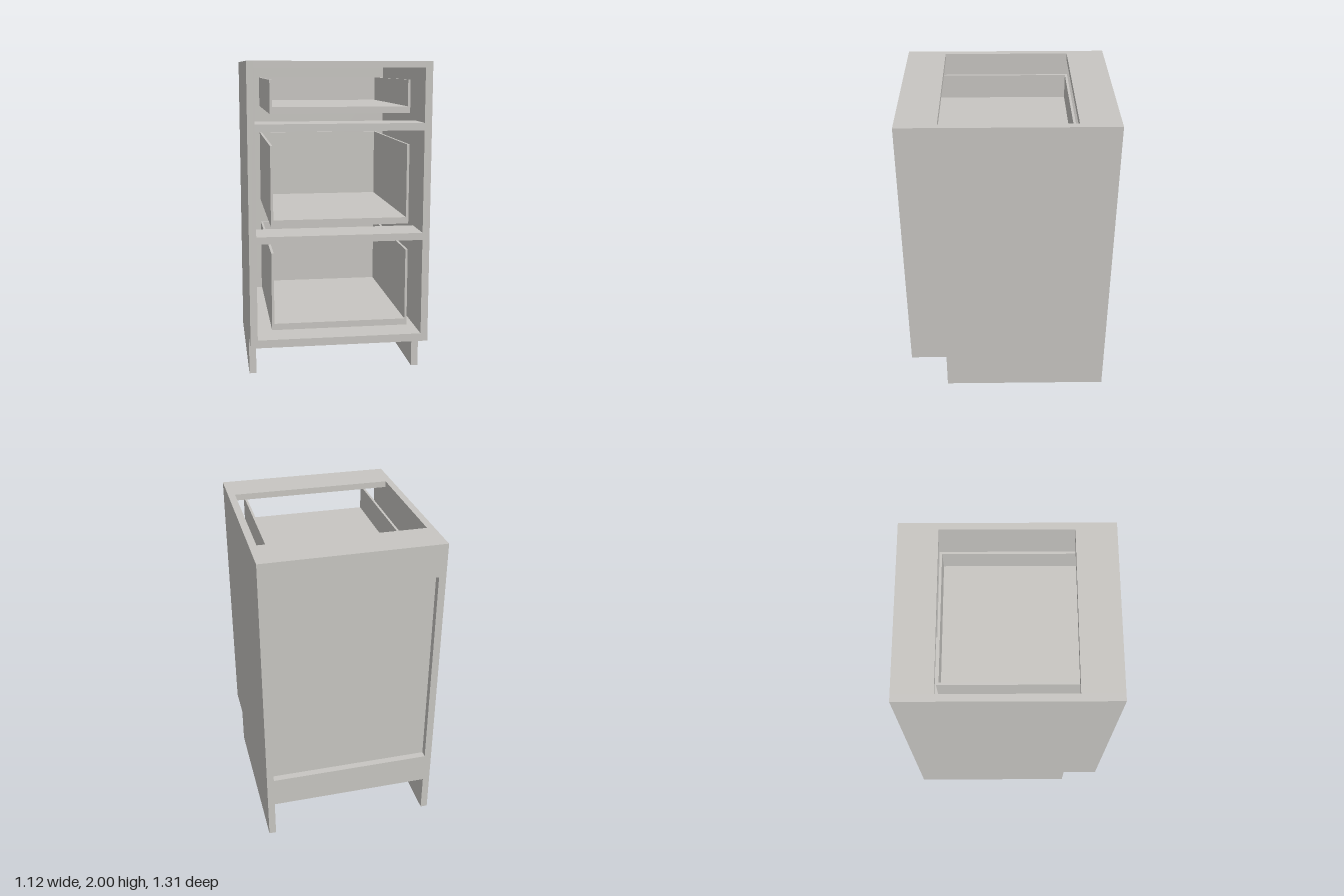
import * as THREE from 'three';

export function createModel() {
  const cabinet = new THREE.Group();
  cabinet.name = 'drawerCabinet';
  const paint = new THREE.MeshStandardMaterial({ color: 0xc8c6c2 });
  paint.name = 'warmGrey';

  const W = 0.56, D = 0.655, IN = 0.515; // half width, half depth, inner half width

  // Box given by its extents on each axis
  function panel(parent, name, [x0, x1], [y0, y1], [z0, z1]) {
    const mesh = new THREE.Mesh(new THREE.BoxGeometry(x1 - x0, y1 - y0, z1 - z0), paint);
    mesh.position.set((x0 + x1) / 2, (y0 + y1) / 2, (z0 + z1) / 2);
    mesh.name = name;
    parent.add(mesh);
  }

  // Side panels with a toe-kick notch; profile drawn with its x along -z
  const profile = new THREE.Shape([
    [-D, 0.25], [-0.42, 0.25], [-0.42, 0], [D, 0], [D, 2], [-D, 2],
  ].map(([x, y]) => new THREE.Vector2(x, y)));
  const sideGeometry = new THREE.ExtrudeGeometry(profile, { depth: W - IN, bevelEnabled: false });
  sideGeometry.rotateY(Math.PI / 2);
  for (const [name, x] of [['leftSide', IN], ['rightSide', -W]]) {
    const side = new THREE.Mesh(sideGeometry, paint);
    side.name = name;
    side.position.x = x;
    cabinet.add(side);
  }

  // Bottom, top stretchers and front dividers
  const across = [-IN, IN];
  panel(cabinet, 'bottomPanel', across, [0.25, 0.3], [-D, D]);
  panel(cabinet, 'topFrontStretcher', across, [1.96, 2], [0.405, D]);
  panel(cabinet, 'topBackStretcher', across, [1.96, 2], [-D, -0.41]);
  panel(cabinet, 'lowerDivider', across, [0.905, 0.95], [0.405, D]);
  panel(cabinet, 'upperDivider', across, [1.585, 1.63], [0.405, D]);

  // Recessed back with a rail above and below
  panel(cabinet, 'topBackRail', across, [1.79, 1.96], [-D, -0.61]);
  panel(cabinet, 'bottomBackRail', across, [0.3, 0.45], [-D, -0.61]);
  panel(cabinet, 'backPanel', across, [0.3, 1.96], [-0.61, -0.595]);

  // Drawer boxes, open at the front
  const drawers = [['topDrawer', 1.69, 1.89], ['middleDrawer', 1.01, 1.5], ['bottomDrawer', 0.36, 0.845]];
  for (const [name, low, high] of drawers) {
    const drawer = new THREE.Group();
    drawer.name = name;
    const depth = [-0.41, 0.645];
    panel(drawer, 'drawerLeftSide', [0.41, 0.425], [low, high], depth);
    panel(drawer, 'drawerRightSide', [-0.425, -0.41], [low, high], depth);
    panel(drawer, 'drawerBottom', [-0.41, 0.41], [low, low + 0.04], depth);
    panel(drawer, 'drawerBack', [-0.41, 0.41], [low + 0.04, high], [-0.41, -0.395]);
    cabinet.add(drawer);
  }
  return cabinet;
}
